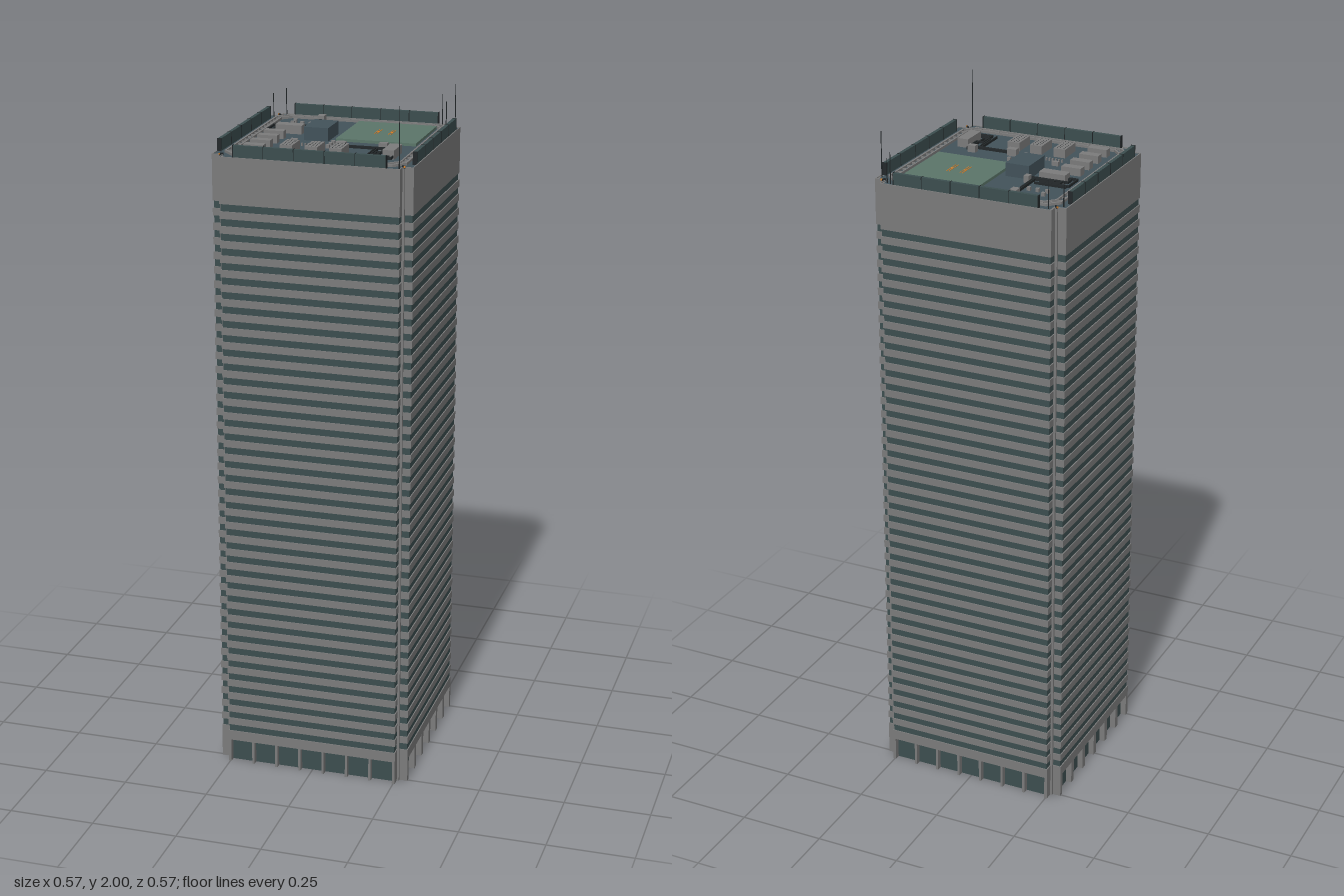
import * as THREE from 'three';
import { mergeGeometries } from 'three/addons/utils/BufferGeometryUtils.js';

const mat = (name, color, side = THREE.FrontSide) => {
  const m = new THREE.MeshStandardMaterial({ color, side });
  m.name = name;
  return m;
};

const W = 0.285, N = 0.255, ROOF = 1.83;

// square plan with a notch in every corner, shrunk by d
function plan(d) {
  const a = W - d, b = N - d;
  return [[a, -b], [a, b], [b, b], [b, a], [-b, a], [-b, b], [-a, b], [-a, -b], [-b, -b], [-b, -a], [b, -a], [b, -b]]
    .map(p => new THREE.Vector2(...p));
}

// square plan with chamfered corners
function octagon(a, c) {
  const b = a - c;
  return [[a, -b], [a, b], [b, a], [-b, a], [-a, b], [-a, -b], [-b, -a], [b, -a]].map(p => new THREE.Vector2(...p));
}

// extrude an outline, optionally hollow, between two heights
function slab(outer, inner, y0, y1) {
  const s = new THREE.Shape(outer);
  if (inner) s.holes.push(new THREE.Path(inner));
  const g = new THREE.ExtrudeGeometry(s, { depth: y1 - y0, bevelEnabled: false });
  return g.rotateX(-Math.PI / 2).translate(0, y0, 0);
}

// box from its limits
function box(x0, x1, y0, y1, z0, z1) {
  return new THREE.BoxGeometry(x1 - x0, y1 - y0, z1 - z0)
    .translate((x0 + x1) / 2, (y0 + y1) / 2, (z0 + z1) / 2);
}

// repeat geometry on the four sides
const fourSides = list => [0, 1, 2, 3].flatMap(i => list.map(g => g.clone().rotateY(i * Math.PI / 2)));

export function createModel() {
  const group = new THREE.Group();
  const concrete = mat('concrete grey', 0x7b7b7b);
  const glass = mat('dark glass', 0x3c4e4f, THREE.DoubleSide);
  const deck = mat('roof slate', 0x42525a);
  const pad = mat('landing pad green', 0x5b7569);
  const orange = mat('marking orange', 0xd9822b);
  const black = mat('pipe black', 0x23282a);
  const add = (name, geos, material) => {
    const m = new THREE.Mesh(mergeGeometries(geos.map(g => g.index ? g.toNonIndexed() : g)), material);
    m.name = name;
    group.add(m);
  };

  // floors: spandrel rings standing proud of a thin glass shell
  const floors = 38, y0 = 0.10, y1 = 1.70, dark = 0.0205;
  const pitch = (y1 - y0 - dark) / floors;
  const rings = [slab(plan(0), plan(0.008), 0.07, y0), slab(plan(0), plan(0.008), y1, ROOF)];
  for (let i = 0; i < floors; i++) {
    const y = y0 + i * pitch + dark;
    rings.push(slab(plan(0), plan(0.008), y, y + pitch - dark));
  }
  add('spandrels', rings, concrete);
  add('windowBands', [slab(plan(0.003), plan(0.005), 0.075, y1 + 0.01)], glass);

  // slim posts in the corner notches
  add('cornerPosts', fourSides([box(N - 0.001, N + 0.006, 0, ROOF, N - 0.001, N + 0.006)]), concrete);

  // ground floor: columns with recessed glazing, seven bays front and back, six at the sides
  const columns = [], panes = [];
  [[0, 7, 0.007], [1, 6, 0.018], [2, 7, 0.007], [3, 6, 0.018]].forEach(([side, bays, w]) => {
    const turn = g => g.rotateY(side * Math.PI / 2);
    for (let i = 0; i <= bays; i++) {
      const x = -0.25 + 0.5 * i / bays;
      columns.push(turn(box(Math.max(x - w / 2, -N), Math.min(x + w / 2, N), 0, 0.07, W - 0.028, W)));
    }
    panes.push(turn(box(-0.25, 0.25, 0, 0.07, W - 0.02, W - 0.017)));
  });
  add('groundColumns', columns, concrete);
  add('cornerPiers', fourSides([
    box(N - 0.008, N, 0, 0.07, N, W),
    box(N, W, 0, 0.07, N - 0.008, N),
  ]), concrete);
  add('groundGlazing', panes, glass);

  // roof deck with a pale edge
  add('roofDeck', [slab(plan(0.001), null, ROOF - 0.012, ROOF)], deck);
  add('roofEdge', [slab(plan(0), plan(0.003), ROOF - 0.001, ROOF + 0.002)], concrete);

  // screens along the four edges, with dividing ribs
  const ribs = [];
  for (let i = 0; i <= 5; i++) {
    const x = -0.215 + 0.086 * i;
    ribs.push(box(x - 0.001, x + 0.001, ROOF, 1.866, 0.271, 0.283));
  }
  add('roofScreens', fourSides([box(-0.215, 0.215, ROOF, 1.865, 0.272, 0.282)]), glass);
  add('screenRibs', fourSides(ribs), black);

  // cleaning cradle track: two rails and their ties
  const ties = [];
  for (let i = 0; i < 16; i++) {
    const x = -0.21 + 0.028 * i;
    ties.push(box(x - 0.002, x + 0.002, ROOF, ROOF + 0.005, 0.236, 0.255));
  }
  const cornerTie = new THREE.BoxGeometry(0.004, 0.005, 0.018).rotateY(Math.PI / 4).translate(0.233, ROOF + 0.0025, 0.233);
  add('trackRails', [
    slab(octagon(0.258, 0.032), octagon(0.2525, 0.03), ROOF, ROOF + 0.007),
    slab(octagon(0.24, 0.026), octagon(0.2355, 0.024), ROOF, ROOF + 0.007),
  ], concrete);
  add('trackTies', fourSides([...ties, cornerTie]), concrete);

  // landing pad with markings
  add('landingPad', [box(-0.006, 0.224, ROOF, ROOF + 0.008, -0.222, 0.008)], pad);
  const marks = [];
  for (const x of [0.085, 0.125]) {
    for (const s of [-1, 1]) marks.push(box(x + s * 0.0035 - 0.0008, x + s * 0.0035 + 0.0008, 1.838, 1.8395, -0.132, -0.075));
    marks.push(box(x - 0.004, x + 0.004, 1.838, 1.8395, -0.108, -0.102));
  }
  add('padMarkings', marks, orange);

  // lift housing
  add('liftHousing', [box(-0.095, -0.025, ROOF, 1.868, -0.08, 0.022)], deck);

  // plant boxes: x0, x1, z0, z1, height
  const units = [
    [-0.2, -0.122, -0.075, -0.042, 0.025], [0.175, 0.208, 0.093, 0.175, 0.025],
    [0.138, 0.162, 0.063, 0.08, 0.02], [0.02, 0.048, 0.08, 0.1, 0.02],
    [-0.126, -0.106, -0.228, -0.203, 0.02], [-0.107, -0.092, -0.11, -0.09, 0.02],
    [-0.121, -0.102, 0.053, 0.065, 0.012],
  ];
  for (const z of [0.001, 0.06, 0.12, 0.18]) units.push([-0.212, -0.154, z, z + 0.025, 0.022]);
  for (const [x, z] of [[-0.186, -0.185], [-0.186, -0.16], [-0.158, -0.16], [-0.132, -0.16],
    [-0.003, 0.043], [0.023, 0.043], [-0.003, 0.07], [-0.003, 0.097]])
    units.push([x - 0.005, x + 0.005, z - 0.005, z + 0.005, 0.01]);
  for (let i = 0; i < 9; i++) units.push([-0.119 + i * 0.0095, -0.115 + i * 0.0095, 0.087, 0.093, 0.008]);

  // cooling units with vents on top
  const vents = [];
  for (const x of [-0.11, -0.038, 0.031]) {
    units.push([x, x + 0.036, 0.126, 0.197, 0.025]);
    for (let i = 0; i < 3; i++) for (let j = 0; j < 6; j++) {
      const vx = x + 0.008 + i * 0.01, vz = 0.134 + j * 0.011;
      vents.push(box(vx - 0.001, vx + 0.001, 1.855, 1.856, vz - 0.001, vz + 0.001));
    }
  }
  add('plantBoxes', units.map(([a, b, c, d, h]) => box(a, b, ROOF, ROOF + h, c, d)), concrete);
  add('vents', vents, black);

  // pipe runs as lists of x, z corners
  const runs = [
    [[-0.118, -0.205], [-0.118, -0.09], [-0.175, -0.09], [-0.175, -0.1]],
    [[-0.113, -0.205], [-0.113, -0.085], [-0.195, -0.085], [-0.195, -0.1], [-0.14, -0.1]],
    [[-0.1, -0.08], [-0.21, -0.08], [-0.21, -0.055], [-0.2, -0.055]],
    [[-0.2, -0.047], [-0.225, -0.047], [-0.225, -0.108], [-0.14, -0.108]],
    [[-0.13, -0.117], [-0.22, -0.117]],
    [[0.048, 0.087], [0.165, 0.087], [0.165, 0.07]],
    [[0.048, 0.092], [0.16, 0.092], [0.16, 0.165], [0.14, 0.165], [0.14, 0.1]],
    [[0.168, 0.075], [0.168, 0.135], [0.148, 0.135], [0.148, 0.18], [0.18, 0.18]],
    [[0.133, 0.1], [0.133, 0.192]],
    [[0.148, 0.18], [0.148, 0.196], [0.204, 0.196], [0.204, 0.175]],
    [[0.155, 0.18], [0.155, 0.188], [0.194, 0.188], [0.194, 0.175]],
  ];
  const r = 0.0018, pipes = [];
  for (const run of runs) for (let i = 1; i < run.length; i++) {
    const [a, b] = run[i - 1], [c, d] = run[i];
    pipes.push(box(Math.min(a, c) - r, Math.max(a, c) + r, ROOF + 0.004, ROOF + 0.011, Math.min(b, d) - r, Math.max(b, d) + r));
  }
  add('pipes', pipes, black);

  // corner lamps and masts
  add('cornerLampArms', fourSides([new THREE.BoxGeometry(0.004, 0.006, 0.012).rotateY(Math.PI / 4).translate(0.257, ROOF + 0.003, 0.257)]), black);
  add('cornerLamps', fourSides([new THREE.BoxGeometry(0.004, 0.004, 0.004).translate(0.261, ROOF + 0.004, 0.261)]), orange);
  const masts = [[0.25, 0.275, 2.0], [0.275, -0.233, 1.96], [0.228, -0.272, 1.92], [0.24, -0.268, 1.9], [-0.24, -0.27, 1.91], [-0.27, -0.24, 1.9]];
  add('masts', masts.map(([x, z, top]) =>
    new THREE.CylinderGeometry(0.001, 0.0016, top - ROOF, 6).translate(x, (top + ROOF) / 2, z)), black);

  return group;
}
